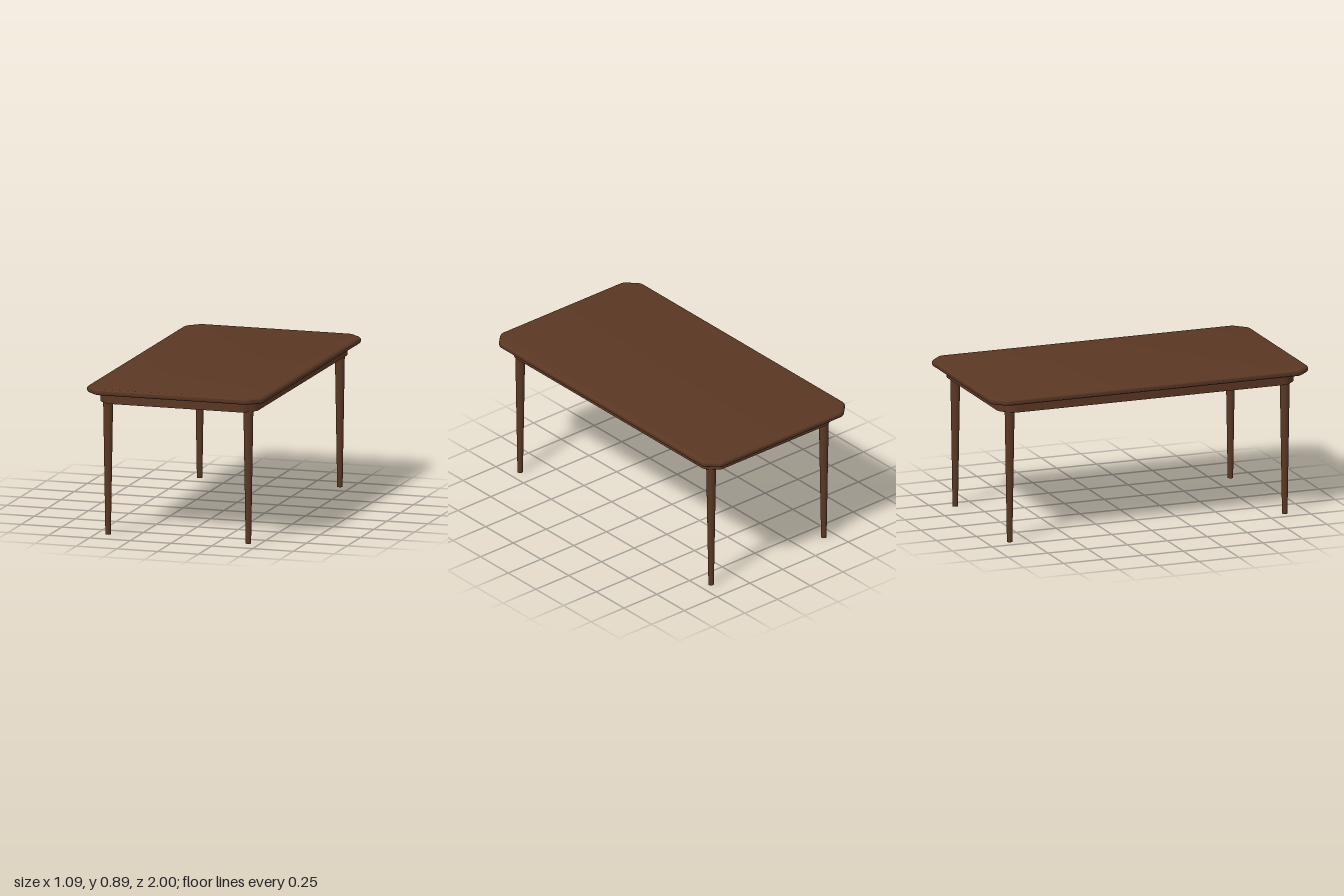
import * as THREE from 'three';
import { toCreasedNormals } from 'three/addons/utils/BufferGeometryUtils.js';

// Rectangle with clipped corners, each clip softened at both ends
function clippedRect(path, hx, hz, clip, soft) {
  const corners = [
    [hx, -hz + clip], [hx, hz - clip], [hx - clip, hz], [-hx + clip, hz],
    [-hx, hz - clip], [-hx, -hz + clip], [-hx + clip, -hz], [hx - clip, -hz],
  ].map(([x, y]) => new THREE.Vector2(x, y));
  corners.forEach((p, i) => {
    const prev = corners[(i + 7) % 8], next = corners[(i + 1) % 8];
    const a = p.clone().add(prev.clone().sub(p).setLength(soft));
    const b = p.clone().add(next.clone().sub(p).setLength(soft));
    if (i === 0) path.moveTo(a.x, a.y);
    else path.lineTo(a.x, a.y);
    path.quadraticCurveTo(p.x, p.y, b.x, b.y);
  });
  path.closePath();
  return path;
}

// Extrude an outline upwards, keeping sharp edges sharp
function slab(shape, options) {
  const geometry = new THREE.ExtrudeGeometry(shape, { curveSegments: 4, ...options });
  geometry.rotateX(-Math.PI / 2);
  return toCreasedNormals(geometry, 0.6);
}

export function createModel() {
  const table = new THREE.Group();
  table.name = 'table';
  const wood = new THREE.MeshStandardMaterial({ color: 0x5a3723 });
  wood.name = 'dark wood';

  const add = (name, geometry, x, y, z) => {
    const mesh = new THREE.Mesh(geometry, wood);
    mesh.name = name;
    mesh.position.set(x, y, z);
    table.add(mesh);
  };

  // Tabletop with a bullnose edge
  const bevel = 0.018;
  const top = clippedRect(new THREE.Shape(), 0.545 - bevel, 1 - bevel, 0.068, 0.015);
  add('tabletop', slab(top, {
    depth: 0.003, bevelEnabled: true, bevelThickness: bevel, bevelSize: bevel, bevelSegments: 6,
  }), 0, 0.85 + bevel, 0);

  // Apron: a hollow frame under the top
  const wall = 0.015;
  const frame = clippedRect(new THREE.Shape(), 0.482, 0.928, 0.068, 0.025);
  frame.holes.push(clippedRect(new THREE.Path(), 0.482 - wall, 0.928 - wall, 0.059, 0.02));
  add('apron', slab(frame, { depth: 0.062, bevelEnabled: false }), 0, 0.79, 0);

  // Tapered round legs
  const leg = new THREE.CylinderGeometry(0.03, 0.016, 0.852, 24);
  for (const [side, x] of [['left', 0.43], ['right', -0.43]]) {
    for (const [end, z] of [['Front', 0.863], ['Back', -0.863]]) {
      add(`${side}${end}Leg`, leg, x, 0.426, z);
    }
  }
  return table;
}
